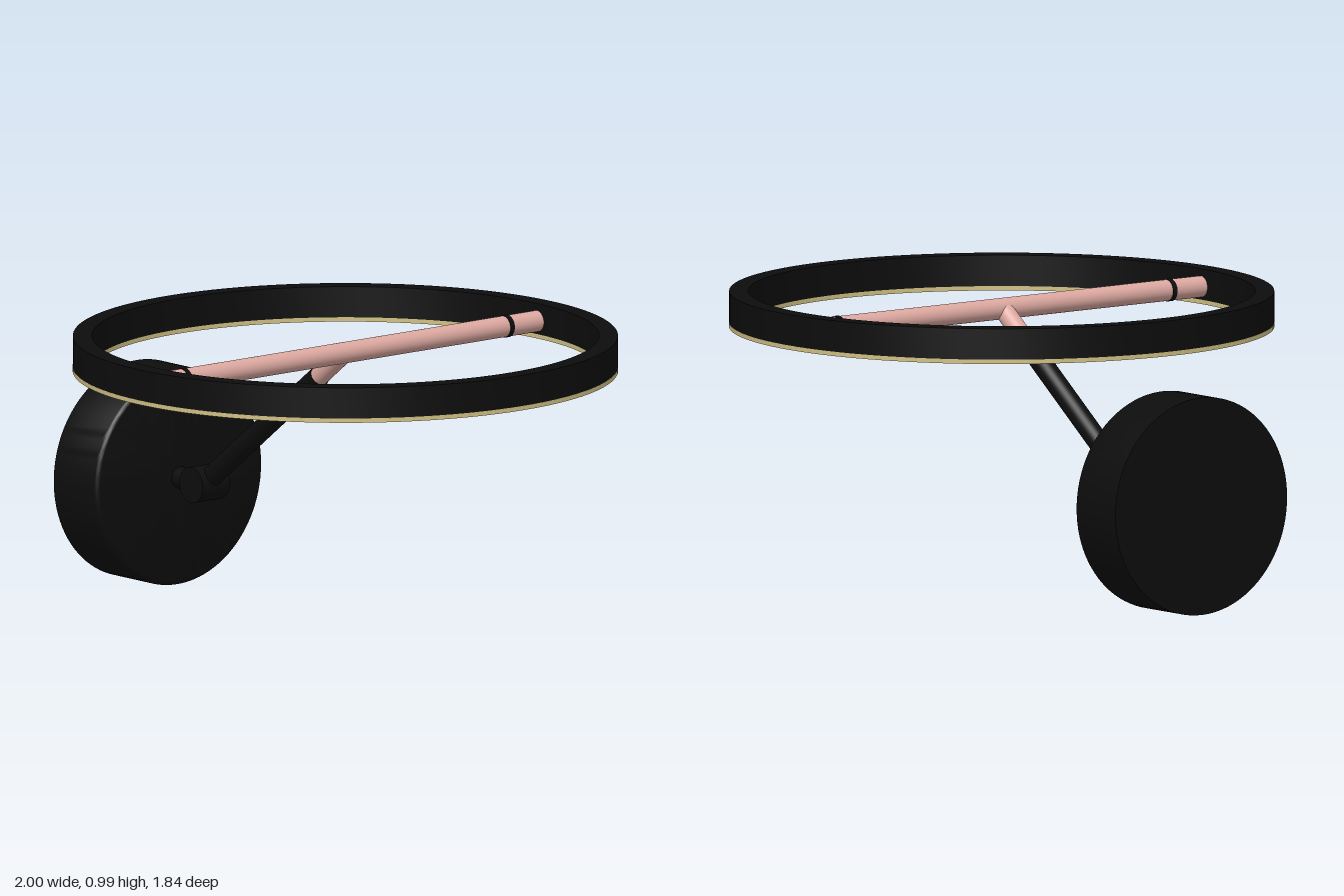
import * as THREE from 'three';
import { toCreasedNormals } from 'three/addons/utils/BufferGeometryUtils.js';

const black = new THREE.MeshStandardMaterial({ color: 0x0d0d0d });
const copper = new THREE.MeshStandardMaterial({ color: 0xdca8a0 });
const glow = new THREE.MeshStandardMaterial({ color: 0xd0c084 });

const RING_X = 0.08, RING_Y = 0.925;

export function createModel() {
  const model = new THREE.Group();

  const add = (name, geometry, material, x = 0, y = 0, z = 0) => {
    const mesh = new THREE.Mesh(geometry, material);
    mesh.name = name;
    mesh.position.set(x, y, z);
    model.add(mesh);
    return mesh;
  };

  // Round rod between two points
  const rod = (name, a, b, radius, material) => {
    const from = new THREE.Vector3(...a), to = new THREE.Vector3(...b);
    const dir = to.clone().sub(from);
    const mesh = add(name, new THREE.CylinderGeometry(radius, radius, dir.length(), 40), material);
    mesh.position.copy(from).add(to).multiplyScalar(0.5);
    mesh.quaternion.setFromUnitVectors(new THREE.Vector3(0, 1, 0), dir.normalize());
    return mesh;
  };

  const lathe = (points, segments) => toCreasedNormals(
    new THREE.LatheGeometry(points.map(p => new THREE.Vector2(...p)), segments), 0.5);

  // Hoop with a rectangular section
  const hoop = (inner, outer, y0, y1) => lathe(
    [[inner, y0], [outer, y0], [outer, y1], [inner, y1], [inner, y0]], 128);

  // Ring shade and the light strip under it
  add('ringShade', hoop(0.855, 0.919, 0.88, 0.985), black, RING_X);
  add('lightStrip', hoop(0.855, 0.92, 0.865, 0.88), glow, RING_X);

  // Crossbar with a dark collar near each end
  rod('crossbar', [RING_X - 0.005, RING_Y, -0.86], [RING_X - 0.005, RING_Y, 0.86], 0.036, copper);
  for (const s of [-1, 1]) {
    rod('crossbarCollar', [RING_X - 0.005, RING_Y, s * 0.706], [RING_X - 0.005, RING_Y, s * 0.724], 0.038, black);
  }

  // Slanted arm: dark tube with a copper tip reaching the crossbar
  rod('arm', [-0.65, 0.37, 0], [-0.055, 0.825, 0], 0.036, black);
  rod('armTip', [-0.055, 0.825, 0], [0.075, 0.925, 0], 0.033, copper);

  // Hinge and the stub holding it to the wall mount
  rod('hinge', [-0.65, 0.37, -0.06], [-0.65, 0.37, 0.06], 0.061, black);
  rod('hingeStub', [-0.8, 0.37, 0], [-0.65, 0.37, 0], 0.037, black);

  // Wall mount drum, its outer edge rounded
  const profile = [[0, 0], [0.37, 0], [0.37, 0.203]];
  for (let i = 1; i <= 5; i++) {
    const t = (i / 5) * Math.PI / 2;
    profile.push([0.35 + 0.02 * Math.cos(t), 0.203 + 0.02 * Math.sin(t)]);
  }
  profile.push([0, 0.223]);
  add('wallMount', lathe(profile, 96), black, -1, 0.37).rotation.z = -Math.PI / 2;

  return model;
}
